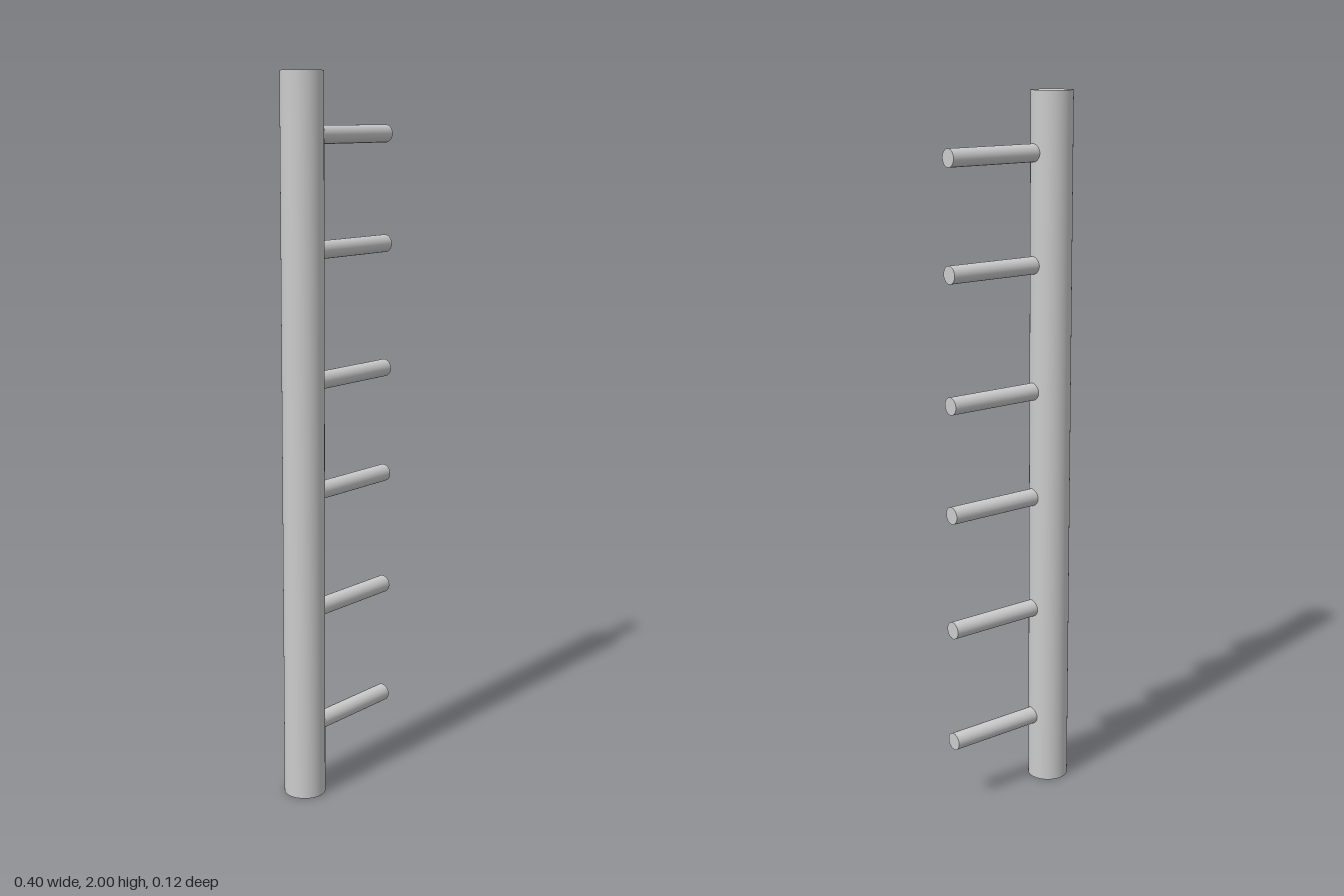
import * as THREE from 'three';

const POST_X = -0.143, POST_RADIUS = 0.058, HEIGHT = 2;
const PEG_RADIUS = 0.0245, PEG_END = 0.201, PEG_Z = 0.008;
const PEG_HEIGHTS = [0.196, 0.534, 0.87, 1.178, 1.532, 1.835];

export function createModel() {
  const group = new THREE.Group();
  group.name = 'peggedPole';
  const material = new THREE.MeshStandardMaterial({ color: 0xcccccc });

  // Upright round post
  const post = new THREE.Mesh(
    new THREE.CylinderGeometry(POST_RADIUS, POST_RADIUS, HEIGHT, 64), material);
  post.name = 'post';
  post.position.set(POST_X, HEIGHT / 2, 0);
  group.add(post);

  // Horizontal pegs, rooted inside the post and slightly forward of its axis
  const length = PEG_END - POST_X;
  const pegGeometry = new THREE.CylinderGeometry(PEG_RADIUS, PEG_RADIUS, length, 48);
  pegGeometry.rotateZ(-Math.PI / 2);
  PEG_HEIGHTS.forEach((y, i) => {
    const peg = new THREE.Mesh(pegGeometry, material);
    peg.name = `peg${i + 1}`;
    peg.position.set(POST_X + length / 2, y, PEG_Z);
    group.add(peg);
  });

  return group;
}
